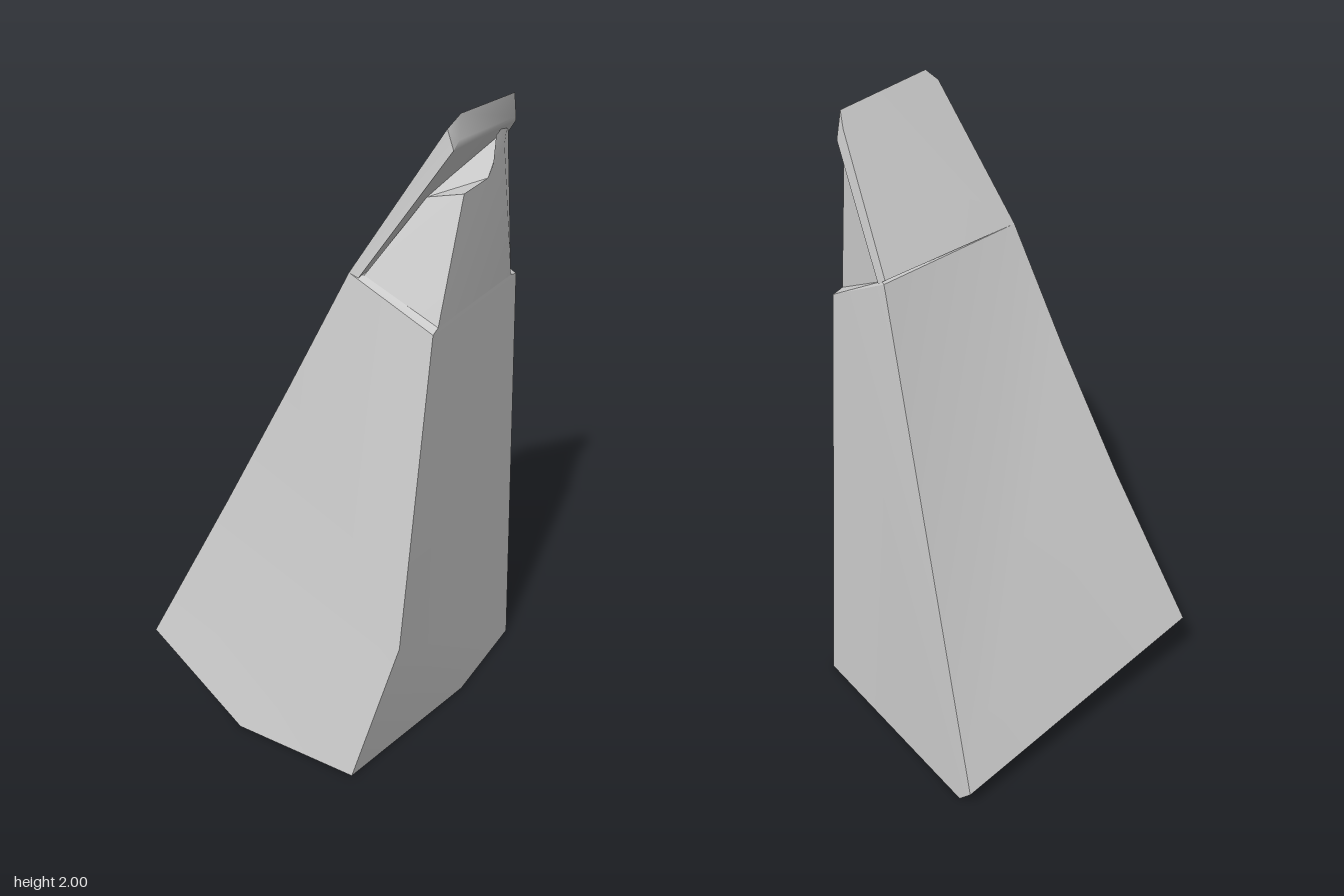
import * as THREE from 'three';
import { toCreasedNormals } from 'three/addons/utils/BufferGeometryUtils.js';

const V = (x, y, z) => new THREE.Vector3(x, y, z);

// Mesh from flat polygons, each a loop of corners counter-clockwise from outside
function polyMesh(name, faces, material, crease = 0.45) {
  const points = [];
  for (const f of faces)
    for (let i = 1; i < f.length - 1; i++) points.push(f[0], f[i], f[i + 1]);
  const geometry = new THREE.BufferGeometry().setFromPoints(points);
  const mesh = new THREE.Mesh(toCreasedNormals(geometry, crease), material);
  mesh.name = name;
  return mesh;
}

// Quads joining two closed loops of equal length
function band(lower, upper) {
  return lower.map((p, i) => {
    const j = (i + 1) % lower.length;
    return [p, lower[j], upper[j], upper[i]];
  });
}

export function createModel() {
  const group = new THREE.Group();
  group.name = 'wedgeTower';
  const stone = new THREE.MeshStandardMaterial({ color: 0xcccccc, side: THREE.DoubleSide });
  stone.name = 'paleGrey';

  // Corners of the bottom rim
  const cornerLeft = V(-0.45, 0.2, 0.46);
  const frontMid = V(-0.08, 0, 0.525);
  const frontEnd = V(0.34, 0, 0.54);
  const sideMid = V(0.45, 0, 0);
  const sideBack = V(0.45, 0, -0.36);
  const backLow = V(-0.31, 0, -0.53);
  const backCorner = V(-0.365, 0.06, -0.54);

  // Points up the front edges, where the walls bend slightly
  const chamferTop = V(0.45, 0.47, 0.455);
  const edgeLow = V(-0.2, 0.732, 0.37);
  const edgeHigh = V(0, 1.157, 0.318);

  // Corners of the shoulder
  const shoulder = [V(0.18, 1.54, 0.285), V(0.45, 1.42, 0.3), V(0.45, 1.4, -0.25), V(0.18, 1.53, -0.29)];
  const [tFL, tFR, tBR, tBL] = shoulder;

  // Main tapering body
  group.add(polyMesh('body', [
    [chamferTop, tFR, tFL, edgeHigh, edgeLow, cornerLeft, frontMid, frontEnd],
    [chamferTop, frontEnd, sideMid],
    [chamferTop, sideMid, sideBack, tBR, tFR],
    [tBR, sideBack, backLow, backCorner, tBL],
    [backCorner, cornerLeft, edgeLow, edgeHigh, tFL, tBL],
  ], stone));

  // Thick lip turned inward around the open, hollow base
  const rim = [cornerLeft, frontMid, frontEnd, sideMid, sideBack, backLow, backCorner];
  const lip = [
    V(-0.36, 0.25, 0.42), V(-0.12, 0.2, 0.45), V(0.12, 0.16, 0.47), V(0.39, 0.12, 0.05),
    V(0.41, 0.12, -0.31), V(-0.2, 0.15, -0.45), V(-0.29, 0.23, -0.45),
  ];
  group.add(polyMesh('baseLip', band(lip, rim), stone));

  // Narrow neck above the shoulder, with a spur rising at its back
  const neckBase = [V(0.22, 1.535, 0.27), V(0.45, 1.43, 0.27), V(0.45, 1.41, -0.21), V(0.2, 1.53, -0.28)];
  group.add(polyMesh('shoulderLedge', band(shoulder, neckBase), stone));
  const [nFL, nFR, nBR, nBL] = neckBase;
  const topFL = V(0.35, 1.75, 0.16);
  const topFR = V(0.45, 1.77, 0.14);
  const topMid = V(0.45, 1.77, -0.01);
  const spurFoot = V(0.45, 1.8, -0.04);
  const spurTip = V(0.45, 1.88, -0.05);
  const spurBack = V(0.45, 1.84, -0.11);
  const spurLeft = V(0.42, 1.88, -0.195);
  group.add(polyMesh('neck', [
    [nFL, nFR, topFR, topFL],
    [topMid, topFR, nFR, nBR, spurFoot],
    [spurFoot, nBR, spurBack, spurTip],
    [nBR, nBL, spurLeft, spurBack],
    [topFL, topFR, topMid],
    [spurLeft, topFL, topMid, spurFoot, spurTip, spurBack],
  ], stone));

  // Leaning hood: a slab from the shoulder to the tip, with a softened lip
  const outer = [
    V(0.18, 1.54, 0.285), V(0.18, 1.54, -0.285), V(0.41, 1.92, -0.205),
    V(0.44, 1.965, -0.185), V(0.45, 2, 0.18), V(0.43, 1.965, 0.215),
  ];
  const inner = [
    V(0.21, 1.53, 0.285), V(0.21, 1.52, -0.285), V(0.44, 1.88, -0.205),
    V(0.45, 1.9, -0.18), V(0.45, 1.93, 0.18), V(0.45, 1.91, 0.215),
  ];
  group.add(polyMesh('hood', [
    outer,
    [...inner].reverse(),
    ...band(inner, outer),
  ], stone, 0.7));

  return group;
}
